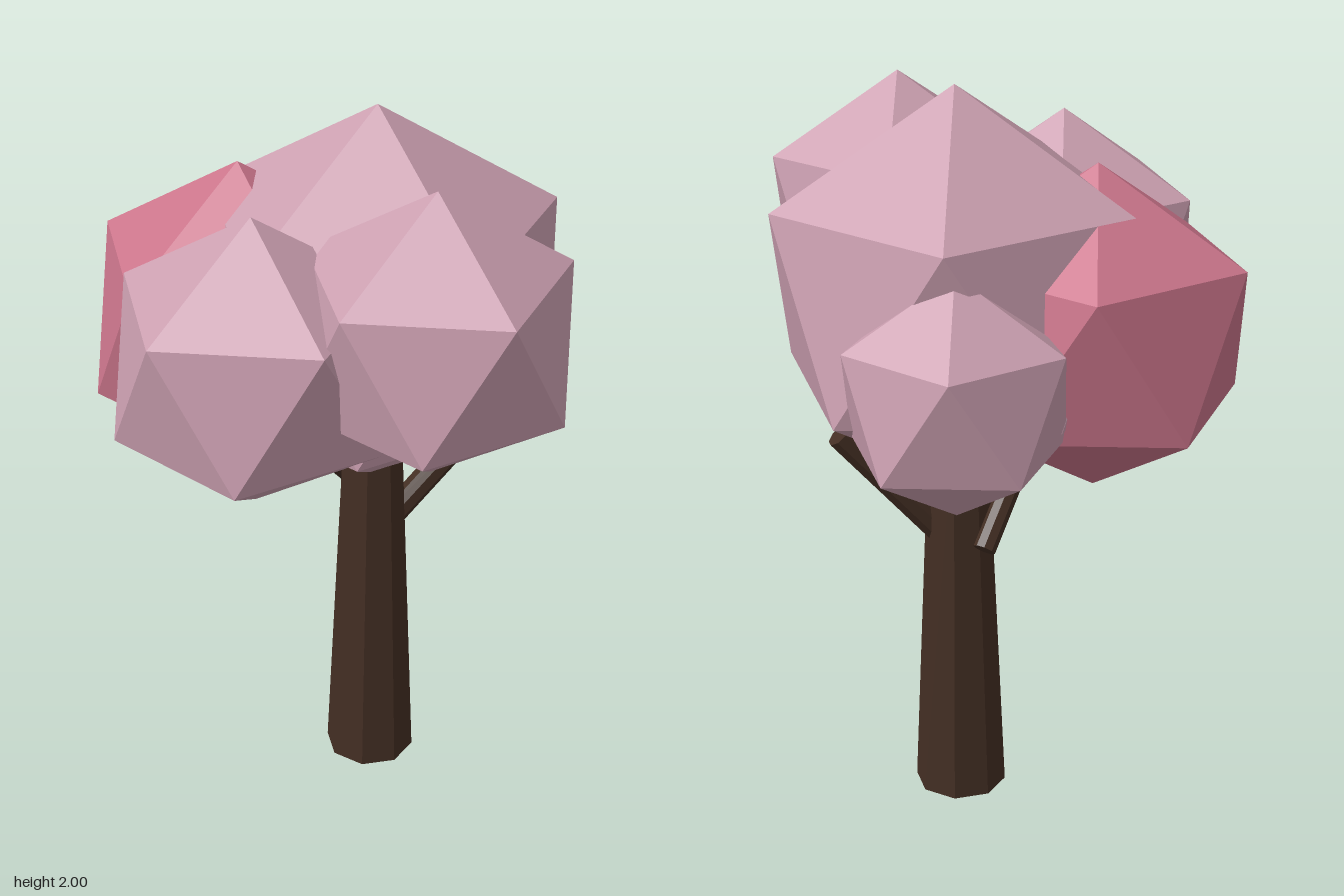
import * as THREE from 'three';

export function createModel() {
  const tree = new THREE.Group();
  tree.name = 'tree';

  const material = (name, color) => {
    const m = new THREE.MeshStandardMaterial({ color, flatShading: true });
    m.name = name;
    return m;
  };
  const bark = material('dark bark', 0x432e23);
  const blossom = material('pale pink blossom', 0xcb9fb0);
  const rose = material('rose blossom', 0xcb758b);

  // Eight-sided tapered limb running between two points
  const up = new THREE.Vector3(0, 1, 0);
  function limb(name, from, to, bottomRadius, topRadius) {
    const a = new THREE.Vector3(...from);
    const b = new THREE.Vector3(...to);
    const dir = b.clone().sub(a);
    const geometry = new THREE.CylinderGeometry(topRadius, bottomRadius, dir.length(), 8);
    geometry.rotateY(Math.PI / 8);
    const mesh = new THREE.Mesh(geometry, bark);
    mesh.name = name;
    mesh.position.copy(a).add(b).multiplyScalar(0.5);
    mesh.quaternion.setFromUnitVectors(up, dir.normalize());
    tree.add(mesh);
  }

  limb('trunk', [0.122, 0, -0.037], [0.122, 1.1, -0.037], 0.126, 0.078);
  limb('leftBranch', [0.13, 0.727, -0.035], [0.443, 1.09, -0.035], 0.036, 0.036);
  limb('backBranch', [0.105, 0.805, -0.235], [-0.1, 1.1, -0.05], 0.03, 0.03);

  // Faceted leaf clump with one corner pointing straight up
  function clump(name, mat, radius, x, y, z) {
    const geometry = new THREE.IcosahedronGeometry(radius, 0);
    geometry.rotateZ(-Math.atan(2 / (1 + Math.sqrt(5))));
    const mesh = new THREE.Mesh(geometry, mat);
    mesh.name = name;
    mesh.position.set(x, y, z);
    tree.add(mesh);
  }

  clump('mainFoliage', blossom, 0.536, 0.124, 1.464, -0.035);
  clump('frontLeftFoliage', blossom, 0.384, 0.173, 1.56, 0.382);
  clump('frontRightFoliage', blossom, 0.397, -0.246, 1.452, 0.23);
  clump('backLeftFoliage', blossom, 0.314, 0.232, 1.33, -0.443);
  clump('backRightFoliage', rose, 0.439, -0.208, 1.375, -0.183);

  return tree;
}
